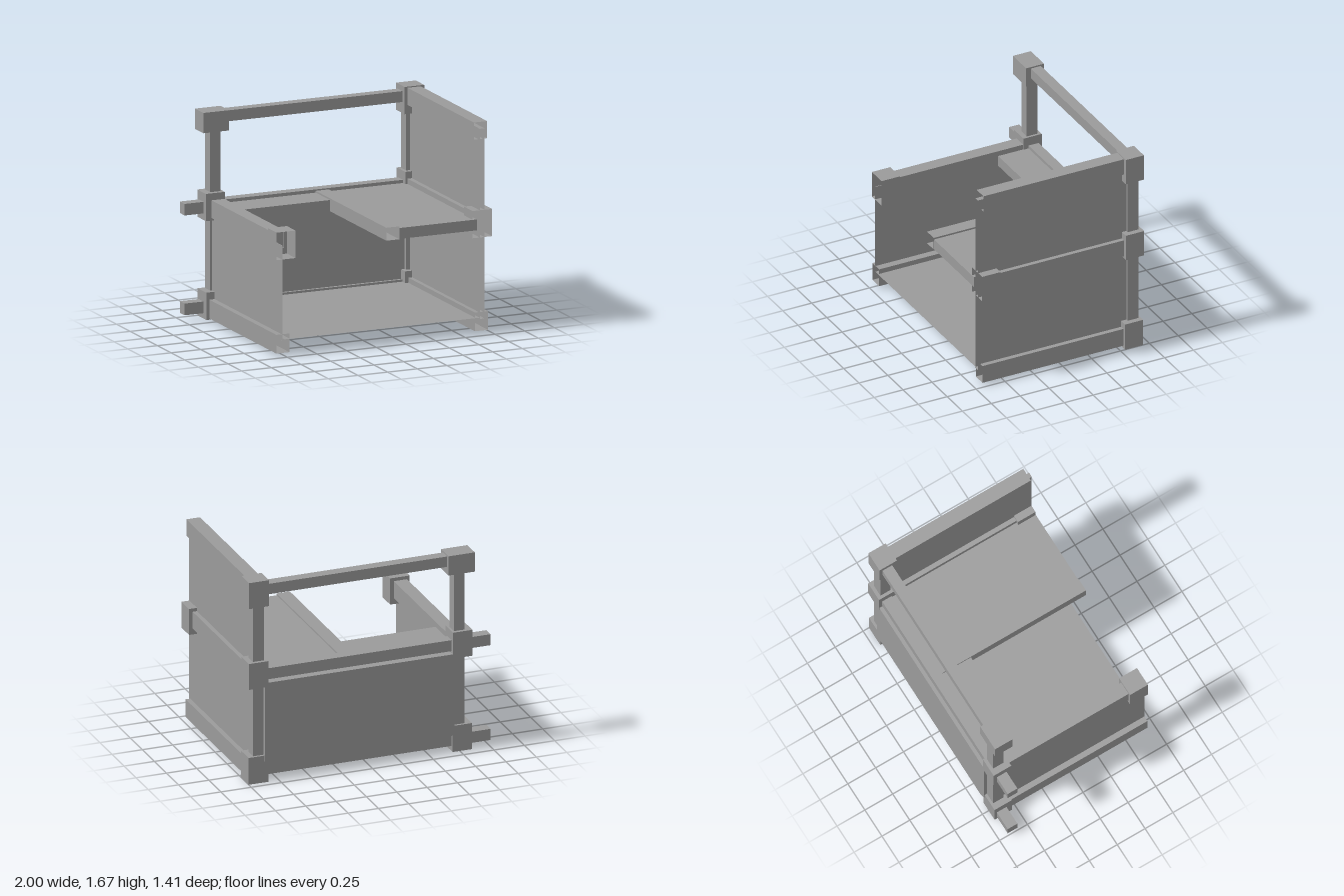
import * as THREE from 'three';

const mat = new THREE.MeshStandardMaterial({ color: 0x9b9b9b, flatShading: true, side: THREE.DoubleSide });

// Box from its extents; openFront drops the +z face so the part reads as a hollow cut end
function box(group, name, [x0, x1], [y0, y1], [z0, z1], openFront = false) {
  const geo = new THREE.BoxGeometry(x1 - x0, y1 - y0, z1 - z0);
  if (openFront) {
    const index = Array.from(geo.index.array);
    index.splice(24, 6);
    geo.setIndex(index);
    geo.clearGroups();
  }
  const mesh = new THREE.Mesh(geo, mat);
  mesh.position.set((x0 + x1) / 2, (y0 + y1) / 2, (z0 + z1) / 2);
  mesh.name = name;
  group.add(mesh);
}

export function createModel() {
  const g = new THREE.Group();
  g.name = 'timberFrame';

  // Back corner posts
  box(g, 'leftBackPost', [0.865, 0.957], [0.1, 1.6], [-0.677, -0.585]);
  box(g, 'rightBackPost', [-0.787, -0.7], [0.1, 1.6], [-0.677, -0.585]);

  // Rails across the back; the lower two run past the corner
  box(g, 'backBottomRail', [-1, 0.92], [0.055, 0.147], [-0.677, -0.59]);
  box(g, 'backMiddleRail', [-1, 0.92], [0.842, 0.933], [-0.677, -0.59]);
  box(g, 'backTopRail', [-0.75, 0.92], [1.547, 1.633], [-0.677, -0.59]);

  // Joint blocks on the back corners
  box(g, 'leftBottomJoint', [0.835, 1], [0, 0.222], [-0.697, -0.54]);
  box(g, 'leftMiddleJoint', [0.84, 1], [0.79, 1.005], [-0.705, -0.547]);
  box(g, 'leftTopJoint', [0.835, 1], [1.46, 1.675], [-0.703, -0.547]);
  box(g, 'rightBottomJoint', [-0.84, -0.68], [0.012, 0.228], [-0.697, -0.54]);
  box(g, 'rightMiddleJoint', [-0.84, -0.68], [0.79, 1.005], [-0.705, -0.547]);
  box(g, 'rightTopJoint', [-0.86, -0.643], [1.485, 1.645], [-0.705, -0.55]);

  // Joint blocks at the front ends of the middle side rails
  box(g, 'leftFrontJoint', [0.835, 1], [0.762, 0.977], [0.54, 0.697], true);
  box(g, 'rightFrontJoint', [-0.815, -0.655], [0.76, 0.977], [0.535, 0.695], true);

  // Side rails
  box(g, 'leftBottomRail', [0.862, 0.973], [0.022, 0.17], [-0.6, 0.68], true);
  box(g, 'leftMiddleRail', [0.858, 0.97], [0.81, 0.95], [-0.6, 0.55], true);
  box(g, 'leftTopRail', [0.858, 0.97], [1.532, 1.667], [-0.6, 0.67], true);
  box(g, 'rightBottomRail', [-0.815, -0.705], [0.022, 0.17], [-0.6, 0.69], true);
  box(g, 'rightMiddleRail', [-0.793, -0.685], [0.81, 0.95], [-0.6, 0.55], true);

  // Side walls: tall on one side, half height and thin on the other
  box(g, 'leftWall', [0.895, 0.935], [0.12, 1.62], [-0.6, 0.7], true);
  box(g, 'rightWall', [-0.77, -0.764], [0.12, 0.87], [-0.6, 0.69], true);

  // Back wall with clipped lower corners
  const [l, r, b, t, c] = [-0.695, 0.87, 0.13, 0.825, 0.045];
  const outline = new THREE.Shape([[l + c, b], [r - c, b], [r, b + c], [r, t], [l, t], [l, b + c]]
    .map(([x, y]) => new THREE.Vector2(x, y)));
  const backWall = new THREE.Mesh(new THREE.ExtrudeGeometry(outline, { depth: 0.09, bevelEnabled: false }), mat);
  backWall.position.z = -0.703;
  backWall.name = 'backWall';
  g.add(backWall);

  // Ground floor, a thin sheet
  const floor = new THREE.Mesh(new THREE.PlaneGeometry(1.66, 1.32).rotateX(-Math.PI / 2), mat);
  floor.position.set(0.08, 0.13, 0.04);
  floor.name = 'floor';
  g.add(floor);

  // Upper floor: wide bay, supporting beam and narrow ledge at the back
  box(g, 'upperFloor', [0.215, 0.87], [0.822, 0.908], [-0.6, 0.7]);
  box(g, 'floorBeam', [0.105, 0.215], [0.82, 0.922], [-0.6, 0.703], true);
  box(g, 'backLedge', [-0.685, 0.105], [0.822, 0.908], [-0.6, -0.33]);

  return g;
}
